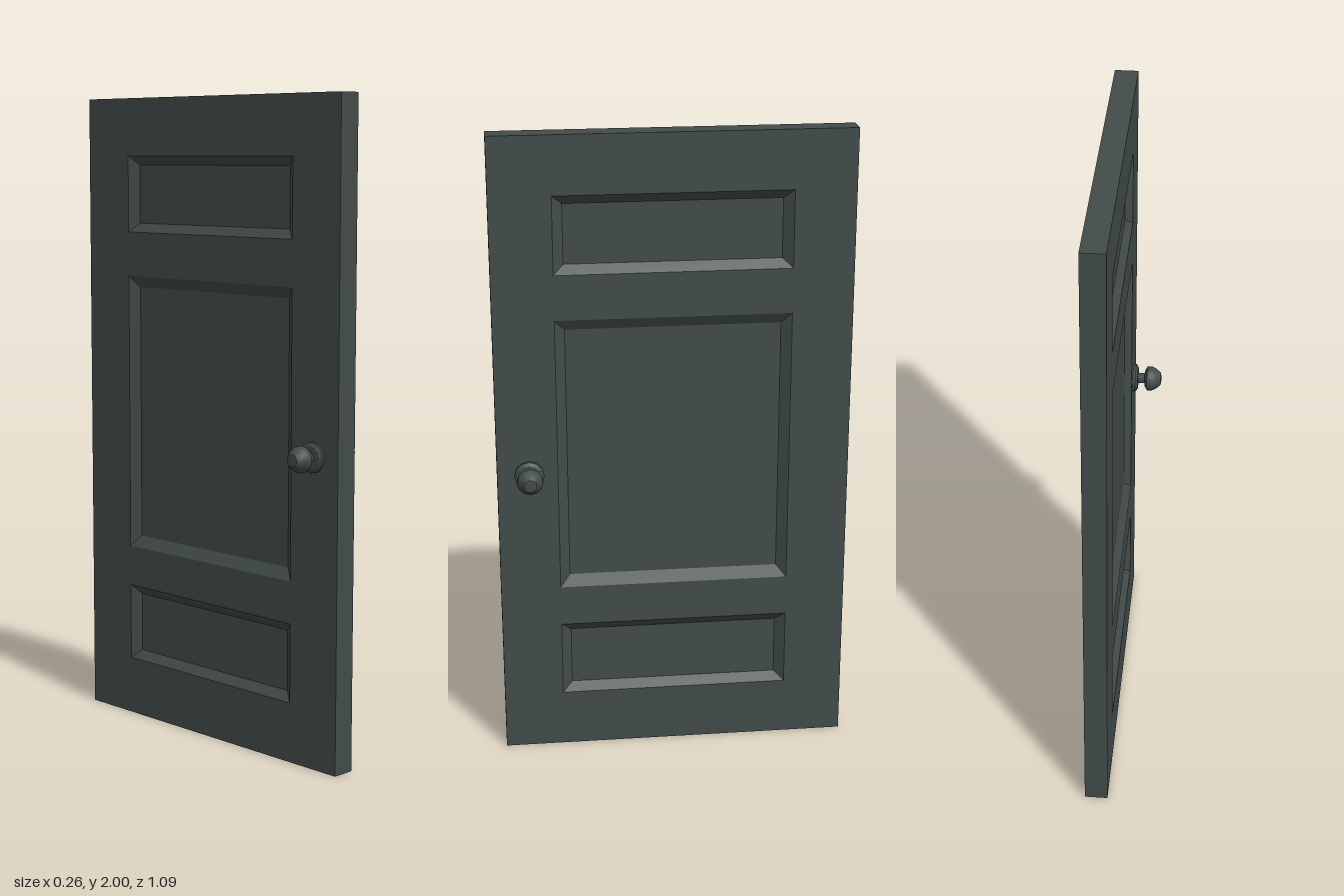
import * as THREE from 'three';
import { toCreasedNormals } from 'three/addons/utils/BufferGeometryUtils.js';

const HALF_T = 0.036, HALF_W = 0.547, HEIGHT = 2, DEPTH = 0.022;

// Corners of a rectangle, counter-clockwise
const corners = ({ w, y0, y1 }) => [[-w, y0], [w, y0], [w, y1], [-w, y1]];

// Flat-sided band joining rectangle a at depth za to rectangle b at depth zb
function band(a, za, b, zb) {
  const A = corners(a), B = corners(b), pos = [];
  for (let i = 0; i < 4; i++) {
    const j = (i + 1) % 4;
    const p = [...A[i], za], q = [...A[j], za], r = [...B[j], zb], s = [...B[i], zb];
    pos.push(...p, ...q, ...r, ...p, ...r, ...s);
  }
  const g = new THREE.BufferGeometry();
  g.setAttribute('position', new THREE.Float32BufferAttribute(pos, 3));
  g.computeVertexNormals();
  return g;
}

const toPoints = (rect) => corners(rect).map(([x, y]) => new THREE.Vector2(x, y));

export function createModel() {
  const door = new THREE.Group();
  door.name = 'door';
  const paint = new THREE.MeshStandardMaterial({ color: 0x424b4b });
  paint.name = 'dark slate paint';

  const add = (parent, name, geometry) => {
    const mesh = new THREE.Mesh(geometry, paint);
    mesh.name = name;
    parent.add(mesh);
    return mesh;
  };

  const outline = { w: HALF_W, y0: 0, y1: HEIGHT };
  // Recessed panels: opening and bevel height
  const panels = [
    { name: 'topPanel', w: 0.36, y0: 1.58, y1: 1.82, bevel: 0.028 },
    { name: 'middlePanel', w: 0.36, y0: 0.56, y1: 1.44, bevel: 0.035 },
    { name: 'bottomPanel', w: 0.36, y0: 0.185, y1: 0.43, bevel: 0.028 },
  ];

  // Narrow edges around the slab
  add(door, 'doorEdges', band(outline, -HALF_T, outline, HALF_T)).rotation.y = Math.PI / 2;

  // Rosette, neck and knob profile: [radius, distance from the door face]
  const knobProfile = [
    [0.046, -0.002], [0.046, 0.008], [0.036, 0.015], [0.017, 0.015], [0.017, 0.037],
    [0.027, 0.038], [0.04, 0.046], [0.04, 0.061], [0.033, 0.075], [0.02, 0.09], [0, 0.093],
  ].map(([r, h]) => new THREE.Vector2(r, h));

  for (const side of [1, -1]) {
    const face = new THREE.Group();
    face.name = side > 0 ? 'leftFace' : 'rightFace';
    face.rotation.y = side * Math.PI / 2;
    door.add(face);

    // Stiles and rails, open where the panels sit
    const frame = new THREE.Shape(toPoints(outline));
    for (const p of panels) frame.holes.push(new THREE.Path(toPoints(p).reverse()));
    add(face, 'stilesAndRails', new THREE.ShapeGeometry(frame)).position.z = HALF_T;

    // Bevelled mouldings and flat sunken panels
    for (const p of panels) {
      const inner = { w: p.w - 0.031, y0: p.y0 + p.bevel, y1: p.y1 - p.bevel };
      add(face, p.name + 'Bevel', band(p, HALF_T, inner, HALF_T - DEPTH));
      const panel = add(face, p.name, new THREE.PlaneGeometry(inner.w * 2, inner.y1 - inner.y0));
      panel.position.set(0, (inner.y0 + inner.y1) / 2, HALF_T - DEPTH);
    }

    // Door knob with its rosette
    const lathe = toCreasedNormals(new THREE.LatheGeometry(knobProfile, 12), 0.6);
    const knob = add(face, 'doorKnob', lathe);
    knob.rotation.x = Math.PI / 2;
    knob.position.set(-side * 0.448, 0.946, HALF_T);
  }
  return door;
}
